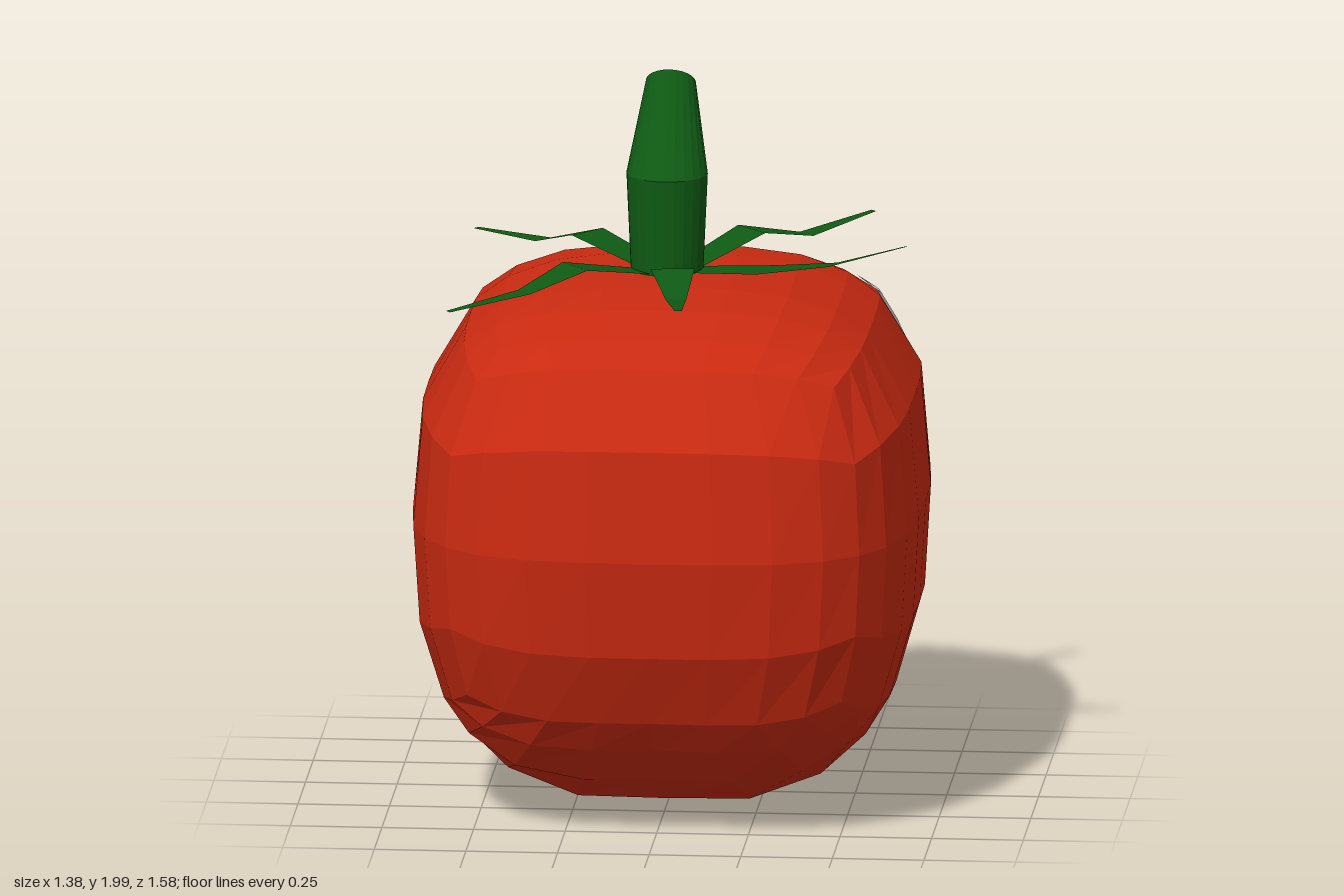
import * as THREE from 'three';

const red = new THREE.MeshStandardMaterial({ color: 0xc92a11, flatShading: true });
red.name = 'tomatoRed';
const green = new THREE.MeshStandardMaterial({ color: 0x0f5a14, flatShading: true, side: THREE.DoubleSide });
green.name = 'stemGreen';
const white = new THREE.MeshStandardMaterial({ color: 0xf5f5f5, side: THREE.DoubleSide });
white.name = 'shineWhite';

function addMesh(parent, name, geometry, material) {
  const mesh = new THREE.Mesh(geometry, material);
  mesh.name = name;
  parent.add(mesh);
  return mesh;
}

// Boxy fruit: a divided cube pushed out onto a superellipsoid, rounder below
function bodyGeometry() {
  const geo = new THREE.BoxGeometry(2, 2, 2, 8, 4, 8);
  const pos = geo.attributes.position;
  for (let i = 0; i < pos.count; i++) {
    const x = pos.getX(i), z = pos.getZ(i);
    let y = pos.getY(i);
    if (y < 0) y *= 0.7;
    const r = Math.pow(Math.abs(x) ** 3.4 + Math.abs(z) ** 3.4, 1 / 3.4);
    const m = y >= 0 ? 3 : 2.1 + 0.55 * x * x / (x * x + z * z + 1e-6);
    const k = 1 / Math.pow(r ** m + Math.abs(y) ** m, 1 / m);
    pos.setXYZ(i, x * k * 0.692, 0.83 + y * k * (y >= 0 ? 0.635 : 0.822), z * k * 0.79);
  }
  const flat = geo.toNonIndexed();
  flat.computeVertexNormals();
  return flat;
}

// Grid surface from rows of points
function gridGeometry(rows) {
  const cols = rows[0].length, index = [];
  for (let i = 0; i < rows.length - 1; i++) {
    for (let j = 0; j < cols - 1; j++) {
      const a = i * cols + j, b = a + cols;
      index.push(a, b, a + 1, a + 1, b, b + 1);
    }
  }
  const geo = new THREE.BufferGeometry().setFromPoints(rows.flat());
  geo.setIndex(index);
  geo.computeVertexNormals();
  return geo;
}

// Folded leaf: stations of [x, y, z, half width]
function leafGeometry(stations) {
  const a = stations[0], b = stations[stations.length - 1];
  const side = new THREE.Vector3(b[2] - a[2], 0, a[0] - b[0]).normalize();
  return gridGeometry(stations.map(([x, y, z, w]) => [-w, w].map(
    s => new THREE.Vector3(x, y, z).addScaledVector(side, s))));
}

// Rounded streak laid on the left side of the body; path given as [z, y]
function shineGeometry(body, path, halfWidth) {
  const curve = new THREE.CatmullRomCurve3(path.map(([z, y]) => new THREE.Vector3(0, y, z)));
  const length = curve.getLength(), ray = new THREE.Raycaster(), rows = [];
  const inward = new THREE.Vector3(-1, 0, 0);
  for (let i = 0; i <= 32; i++) {
    const t = i / 32;
    const p = curve.getPointAt(t), d = curve.getTangentAt(t);
    const end = Math.min(1, Math.min(t, 1 - t) * length / halfWidth);
    const w = halfWidth * Math.sqrt(1 - (1 - end) ** 2);
    rows.push([-1, -0.5, 0, 0.5, 1].map(s => {
      const q = new THREE.Vector3(2, p.y + d.z * w * s, p.z - d.y * w * s);
      ray.set(q, inward);
      const hit = ray.intersectObject(body)[0];
      if (!hit) return q.setX(0.5);
      return hit.point.clone().addScaledVector(hit.face.normal, 0.006);
    }));
  }
  return gridGeometry(rows);
}

export function createModel() {
  const model = new THREE.Group();
  model.name = 'tomato';

  const body = addMesh(model, 'body', bodyGeometry(), red);
  body.updateMatrixWorld(true);

  // Stem: straight lower part, then a tapered part bent backwards
  const lower = new THREE.CylinderGeometry(0.111, 0.098, 0.29, 24, 1, true);
  lower.translate(-0.015, 1.585, -0.02);
  addMesh(model, 'lowerStem', lower, green);

  const upper = new THREE.CylinderGeometry(0.068, 0.111, 1, 24, 1);
  const pos = upper.attributes.position, v = new THREE.Vector3();
  const axis = new THREE.Vector3(1, 0, 0);
  for (let i = 0; i < pos.count; i++) {
    v.fromBufferAttribute(pos, i);
    const top = v.y > 0;
    v.y = 0;
    if (top) v.applyAxisAngle(axis, -0.73).add(new THREE.Vector3(-0.015, 1.955, -0.145));
    else v.add(new THREE.Vector3(-0.015, 1.73, -0.02));
    pos.setXYZ(i, v.x, v.y, v.z);
  }
  upper.computeVertexNormals();
  addMesh(model, 'upperStem', upper, green);

  // Five leaves around the stem
  const leaves = {
    backRightLeaf: [[-0.07, 1.465, -0.06, 0.045], [-0.25, 1.51, -0.225, 0.06], [-0.38, 1.46, -0.33, 0.03], [-0.575, 1.45, -0.49, 0.01]],
    frontRightLeaf: [[-0.07, 1.465, 0.03, 0.045], [-0.25, 1.51, 0.175, 0.06], [-0.38, 1.46, 0.275, 0.03], [-0.575, 1.44, 0.435, 0.01]],
    frontLeaf: [[0, 1.465, 0.05, 0.045], [0.02, 1.52, 0.22, 0.06], [0.045, 1.48, 0.41, 0.028], [0.07, 1.505, 0.64, 0.01]],
    frontLeftLeaf: [[0.06, 1.465, 0, 0.045], [0.26, 1.48, 0.05, 0.06], [0.45, 1.52, 0.14, 0.028], [0.66, 1.6, 0.24, 0.01]],
    backLeftLeaf: [[0.05, 1.465, -0.07, 0.045], [0.2, 1.53, -0.21, 0.06], [0.34, 1.49, -0.33, 0.03], [0.51, 1.52, -0.49, 0.01]],
  };
  for (const [name, stations] of Object.entries(leaves)) {
    addMesh(model, name, leafGeometry(stations), green);
  }

  // Shine marks high on the left side
  addMesh(model, 'shineStreak', shineGeometry(body,
    [[-0.32, 1.325], [-0.4, 1.3], [-0.48, 1.245], [-0.525, 1.18], [-0.545, 1.085]], 0.053), white);
  addMesh(model, 'shineDot', shineGeometry(body, [[-0.58, 1.03], [-0.58, 0.93]], 0.045), white);

  return model;
}
